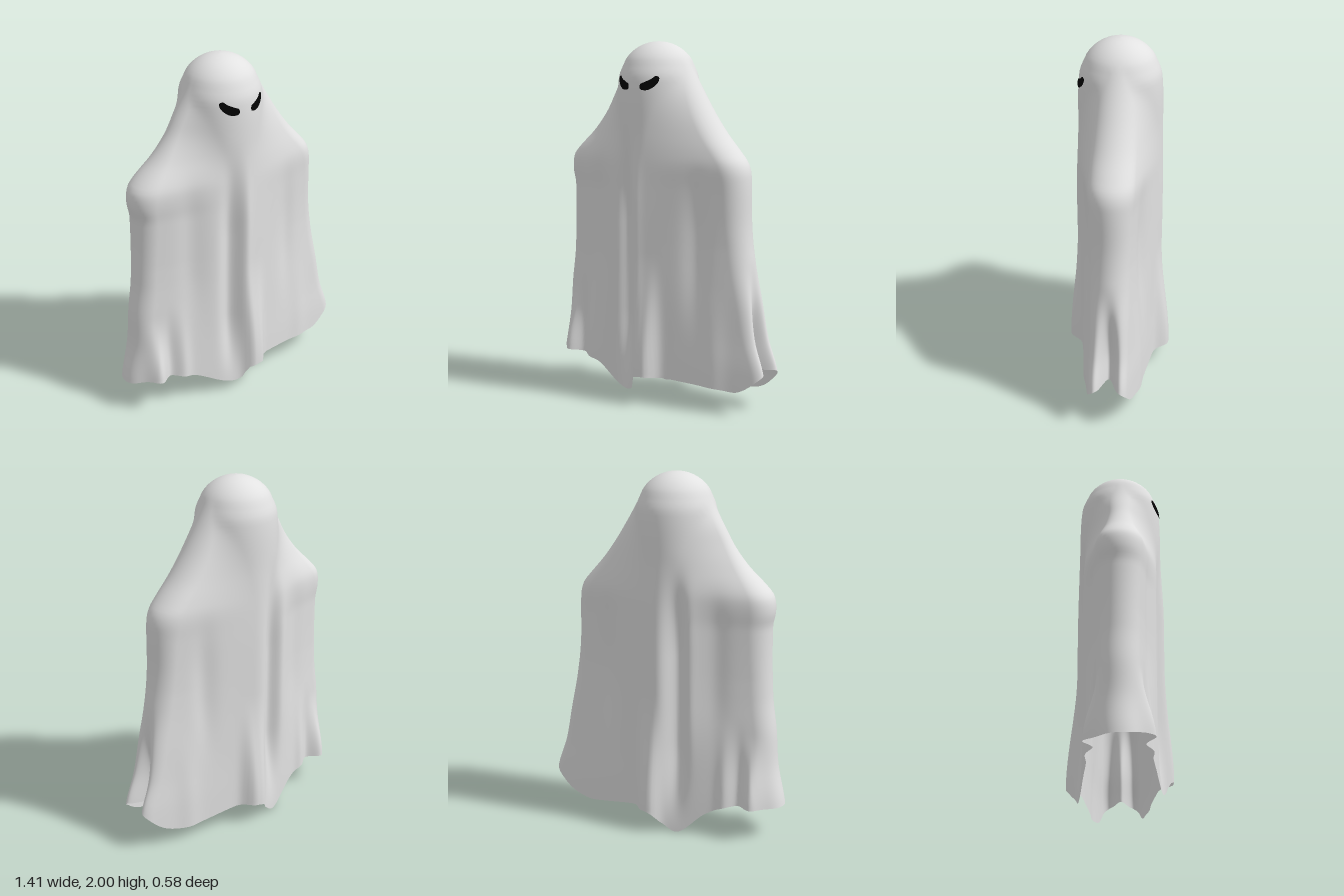
import * as THREE from 'three';

const COLS = 288, CAP_ROWS = 14, DRAPE_ROWS = 72, HEAD_X = -0.04;
const smooth = THREE.MathUtils.smoothstep;

// Smooth interpolation through [position, value] pairs in ascending order
function sample(table, p) {
  const n = table.length - 1;
  if (p <= table[0][0]) return table[0][1];
  if (p >= table[n][0]) return table[n][1];
  let i = 0;
  while (p > table[i + 1][0]) i++;
  const slope = k => {
    const a = table[Math.max(k - 1, 0)], b = table[Math.min(k + 1, n)];
    return (b[1] - a[1]) / (b[0] - a[0]);
  };
  const [x0, y0] = table[i], [x1, y1] = table[i + 1], h = x1 - x0, u = (p - x0) / h;
  const u2 = u * u, u3 = u2 * u;
  return y0 * (2 * u3 - 3 * u2 + 1) + slope(i) * h * (u3 - 2 * u2 + u)
    + y1 * (3 * u2 - 2 * u3) + slope(i + 1) * h * (u3 - u2);
}

// Outline of the cloth by height: right edge (-x), left edge (+x), half depth
const rightEdge = [[0, -0.71], [0.18, -0.705], [0.4, -0.66], [0.6, -0.645], [0.8, -0.62], [1.18, -0.61],
  [1.27, -0.625], [1.35, -0.615], [1.4, -0.575], [1.5, -0.47], [1.6, -0.39], [1.7, -0.33], [1.8, -0.272], [1.9, -0.224]];
const leftEdge = [[0, 0.77], [0.23, 0.74], [0.4, 0.68], [0.6, 0.635], [0.8, 0.587], [1, 0.56],
  [1.28, 0.55], [1.35, 0.53], [1.4, 0.49], [1.5, 0.4], [1.6, 0.325], [1.7, 0.26], [1.8, 0.2], [1.9, 0.144]];
const halfDepth = [[0, 0.235], [0.6, 0.238], [1.1, 0.24], [1.5, 0.232], [1.8, 0.222], [1.9, 0.184]];

// Radius of the rounded arm end by height
const rightArm = [[0.9, 0.11], [1.2, 0.12], [1.35, 0.125], [1.5, 0.09], [1.65, 0.075], [1.85, 0.12]];
const leftArm = [[0.9, 0.11], [1.2, 0.12], [1.35, 0.13], [1.85, 0.12]];

// Hem height across the front and the back
const frontHem = [[-0.7, 0.18], [-0.6, 0.21], [-0.35, 0.17], [-0.15, 0.07], [-0.06, 0.07], [-0.02, 0.15],
  [0.1, 0.155], [0.45, 0.13], [0.55, 0.13], [0.7, 0.23]];
const backHem = [[-0.7, 0.18], [-0.45, 0.18], [-0.3, 0.12], [-0.15, 0], [-0.06, 0.05], [-0.01, 0.11],
  [0.1, 0.12], [0.4, 0.08], [0.55, 0.11], [0.7, 0.23]];

// Folds: x, width, outward push, height where it starts, height where it is full, height where it fades (or -1)
const sharedFolds = [
  [-0.57, 0.055, 0.065, 0.6, 0.2, -1],
  [-0.48, 0.03, -0.01, 0.7, 0.3, -1],
  [-0.41, 0.04, 0.02, 0.7, 0.25, -1],
  [-0.34, 0.07, -0.015, 1.5, 1.15, 0.6],
  [0.31, 0.06, -0.018, 1.4, 0.95, 0.6],
  [0.43, 0.06, 0.01, 0.7, 0.3, -1],
];
const frontFolds = [...sharedFolds,
  [-0.11, 0.055, -0.055, 1.6, 1.0, 0.25],
  [-0.03, 0.03, 0.012, 1.5, 1.1, 0.5],
  [0, 0.04, 0.05, 0.85, 0.17, -1],
  [0.06, 0.04, 0.055, 0.85, 0.17, -1],
];
const backFolds = [...sharedFolds,
  [-0.13, 0.055, -0.06, 1.6, 1.0, 0.25],
  [-0.21, 0.04, 0.01, 1.5, 1.1, 0.5],
  [-0.01, 0.04, 0.05, 0.8, 0.12, -1],
  [0.05, 0.04, 0.055, 0.8, 0.12, -1],
];

// Cloth section at one height: reach to the given side, depth over the head, arm radius
function section(y, dir) {
  if (y > 1.9) {
    const r = Math.sqrt(Math.max(0, 0.22 ** 2 - (y - 1.78) ** 2));
    return { reach: r, depth: r, arm: r / 2 };
  }
  return {
    reach: Math.abs(sample(dir > 0 ? leftEdge : rightEdge, y) - HEAD_X),
    depth: sample(halfDepth, y),
    arm: sample(dir > 0 ? leftArm : rightArm, y),
  };
}

// Half thickness at distance d from the middle: head circle, taut cloth, arm circle
function thickness({ reach, depth, arm }, d) {
  const sin = Math.min(1, (depth - arm) / Math.max(reach - arm, 1e-6));
  const cos = Math.sqrt(1 - sin * sin);
  const d0 = depth * sin, d1 = reach - arm + arm * sin;
  if (d <= d0) return Math.sqrt(Math.max(0, depth * depth - d * d));
  if (d < d1) return THREE.MathUtils.mapLinear(d, d0, d1, depth * cos, arm * cos);
  return Math.sqrt(Math.max(0, arm * arm - (d - reach + arm) ** 2));
}

function clothPoint(t, y) {
  const cos = Math.cos(t), sin = Math.sin(t), side = Math.sign(sin);
  const part = section(y, cos), d = part.reach * cos;
  let x = HEAD_X + d, z = side * thickness(part, Math.abs(d));
  let push = 0;
  for (const [fx, w, amp, start, full, fade] of side >= 0 ? frontFolds : backFolds) {
    let k = 1 - smooth(y, full, start);
    if (fade > 0) k *= smooth(y, fade - 0.25, fade + 0.25);
    push += amp * k * Math.exp(-(((x - fx) / w) ** 2));
  }
  // Pleat sunk into the left end of the hem
  if (cos > 0) x -= 0.17 * (1 - smooth(y, 0.15, 0.85)) * Math.exp(-((z / 0.045) ** 2));
  z += side * push * Math.min(1, Math.abs(sin) * 1.8);
  return [x, y, z];
}

function sheetGeometry() {
  const pos = [], index = [], rows = CAP_ROWS + DRAPE_ROWS;
  for (let j = 0; j <= rows; j++) {
    for (let i = 0; i < COLS; i++) {
      const t = (i / COLS) * Math.PI * 2, cos = Math.cos(t);
      const hemX = HEAD_X + cos * (cos > 0 ? 0.76 : 0.66);
      const hem = sample(Math.sin(t) >= 0 ? frontHem : backHem, hemX);
      const y = j <= CAP_ROWS
        ? 1.78 + 0.22 * Math.cos(Math.max(j, 0.01) / CAP_ROWS * Math.PI / 2)
        : THREE.MathUtils.lerp(1.78, hem, (j - CAP_ROWS) / DRAPE_ROWS);
      pos.push(...clothPoint(t, y));
    }
  }
  for (let j = 0; j < rows; j++) {
    for (let i = 0; i < COLS; i++) {
      const k = (i + 1) % COLS, p = j * COLS, q = p + COLS;
      index.push(p + i, p + k, q + k, p + i, q + k, q + i);
    }
  }
  const geo = new THREE.BufferGeometry();
  geo.setAttribute('position', new THREE.Float32BufferAttribute(pos, 3));
  geo.setIndex(index);
  geo.computeVertexNormals();
  return geo;
}

// Slanted eye patch laid on the front of the head; dir is +1 for the left eye
function eyeGeometry(dir) {
  const outline = [[0.133, 1.808], [0.118, 1.815], [0.095, 1.798], [0.066, 1.784], [0.039, 1.77], [0.04, 1.745],
    [0.08, 1.74], [0.115, 1.76], [0.132, 1.785]];
  const curve = new THREE.CatmullRomCurve3(outline.map(([x, y]) => new THREE.Vector3(x, y, 0)), true);
  const geo = new THREE.RingGeometry(0.001, 1, 40, 6);
  const p = geo.attributes.position, mid = new THREE.Vector3(0.088, 1.771, 0);
  for (let i = 0; i < p.count; i++) {
    const r = Math.hypot(p.getX(i), p.getY(i));
    const u = (Math.atan2(p.getY(i), p.getX(i)) / (Math.PI * 2) + 1) % 1;
    const v = mid.clone().lerp(curve.getPoint(u), r);
    p.setXYZ(i, HEAD_X + dir * v.x, v.y, thickness(section(v.y, dir), v.x) + 0.005);
  }
  geo.computeVertexNormals();
  return geo;
}

export function createModel() {
  const cloth = new THREE.MeshStandardMaterial({ color: 0xe2e2e2, side: THREE.DoubleSide });
  cloth.name = 'paleCloth';
  const black = new THREE.MeshStandardMaterial({ color: 0x030303, side: THREE.DoubleSide });
  black.name = 'eyeBlack';

  const ghost = new THREE.Group();
  ghost.name = 'ghost';
  const add = (name, geo, mat) => {
    const mesh = new THREE.Mesh(geo, mat);
    mesh.name = name;
    ghost.add(mesh);
  };
  add('sheet', sheetGeometry(), cloth);
  add('leftEye', eyeGeometry(1), black);
  add('rightEye', eyeGeometry(-1), black);
  return ghost;
}
